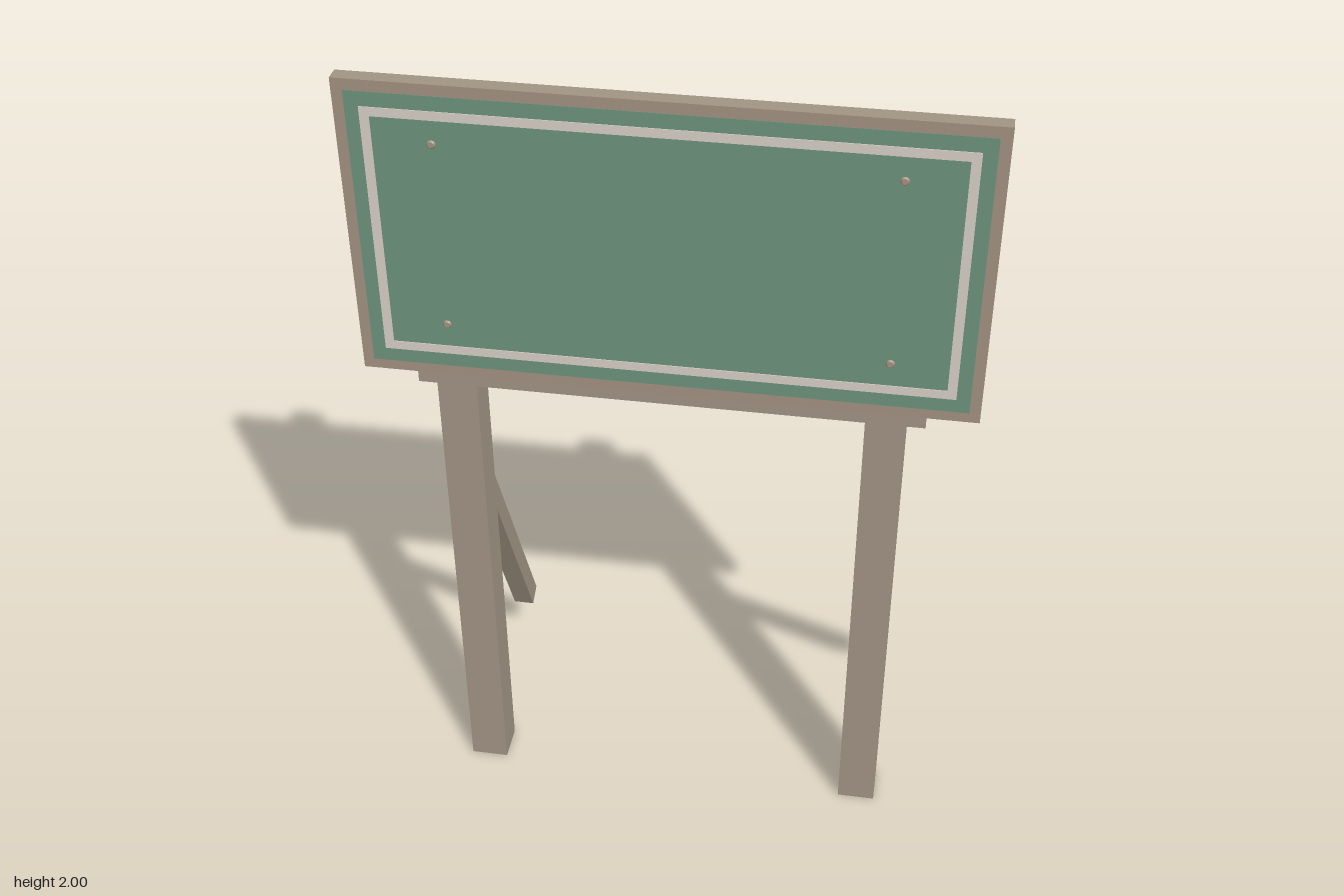
import * as THREE from 'three';

const material = (name, color) => {
  const m = new THREE.MeshStandardMaterial({ color });
  m.name = name;
  return m;
};

export function createModel() {
  const model = new THREE.Group();
  model.name = 'signBoard';
  const wood = material('weathered wood', 0xa09383);
  const trim = material('border wood', 0xa2907f);
  const green = material('green paint', 0x6c917c);
  const cream = material('cream paint', 0xd6cec5);

  const add = (name, geometry, mat, x = 0, y = 0, z = 0) => {
    const mesh = new THREE.Mesh(geometry, mat);
    mesh.name = name;
    mesh.position.set(x, y, z);
    model.add(mesh);
    return mesh;
  };
  // Box given by its width and its y and z ranges
  const box = (name, mat, w, y0, y1, z0, z1, x = 0) =>
    add(name, new THREE.BoxGeometry(w, y1 - y0, z1 - z0), mat, x, (y0 + y1) / 2, (z0 + z1) / 2);
  const rectangle = (Type, w, h) => new Type([
    new THREE.Vector2(-w, -h), new THREE.Vector2(w, -h),
    new THREE.Vector2(w, h), new THREE.Vector2(-w, h),
  ]);
  // Flat rectangular ring given by outer and inner half sizes
  const ring = (name, mat, w, h, wi, hi, depth, y, z) => {
    const shape = rectangle(THREE.Shape, w, h);
    shape.holes.push(rectangle(THREE.Path, wi, hi));
    add(name, new THREE.ExtrudeGeometry(shape, { depth, bevelEnabled: false }), mat, 0, y, z);
  };

  // Board with border, painted panel and outline
  const midY = 1.637;
  box('board', wood, 1.396, 1.275, 2, 0.22, 0.255);
  ring('boardBorder', trim, 0.698, 0.3625, 0.672, 0.336, 0.002, 1.6375, 0.255);
  box('greenPanel', green, 1.346, midY - 0.337, midY + 0.337, 0.255, 0.258);
  ring('outline', cream, 0.642, 0.303, 0.621, 0.282, 0.002, midY, 0.258);

  // Rail under the board
  box('rail', wood, 1.164, 1.227, 1.277, 0.186, 0.23);

  for (const side of [-1, 1]) {
    const x = side * 0.493;

    // Post with a slightly flared top
    box('post', wood, 0.093, 0, 1.925, 0.136, 0.227, x);
    const cap = new THREE.BoxGeometry(0.093, 0.02, 0.091);
    const p = cap.attributes.position;
    for (let i = 0; i < p.count; i++) {
      if (p.getY(i) > 0) p.setXYZ(i, p.getX(i) * 1.1, p.getY(i), p.getZ(i) * 1.1);
    }
    cap.computeVertexNormals();
    add('postCap', cap, wood, x, 1.934, 0.1815);

    // Slanted brace, drawn in the z-y plane and turned to face sideways
    const profile = new THREE.Shape([
      new THREE.Vector2(-0.136, 0.86), new THREE.Vector2(0.215, 0.15),
      new THREE.Vector2(0.262, 0.173), new THREE.Vector2(-0.136, 0.975),
    ]);
    const brace = new THREE.ExtrudeGeometry(profile, { depth: 0.053, bevelEnabled: false });
    brace.translate(0, 0, -0.0265).rotateY(Math.PI / 2);
    add('brace', brace, wood, x);

    // Bolt heads
    for (const y of [1.413, 1.863]) {
      const bolt = new THREE.CylinderGeometry(0.007, 0.011, 0.005, 10).rotateX(Math.PI / 2);
      add('bolt', bolt, trim, x, y, 0.2595);
    }
  }
  return model;
}
